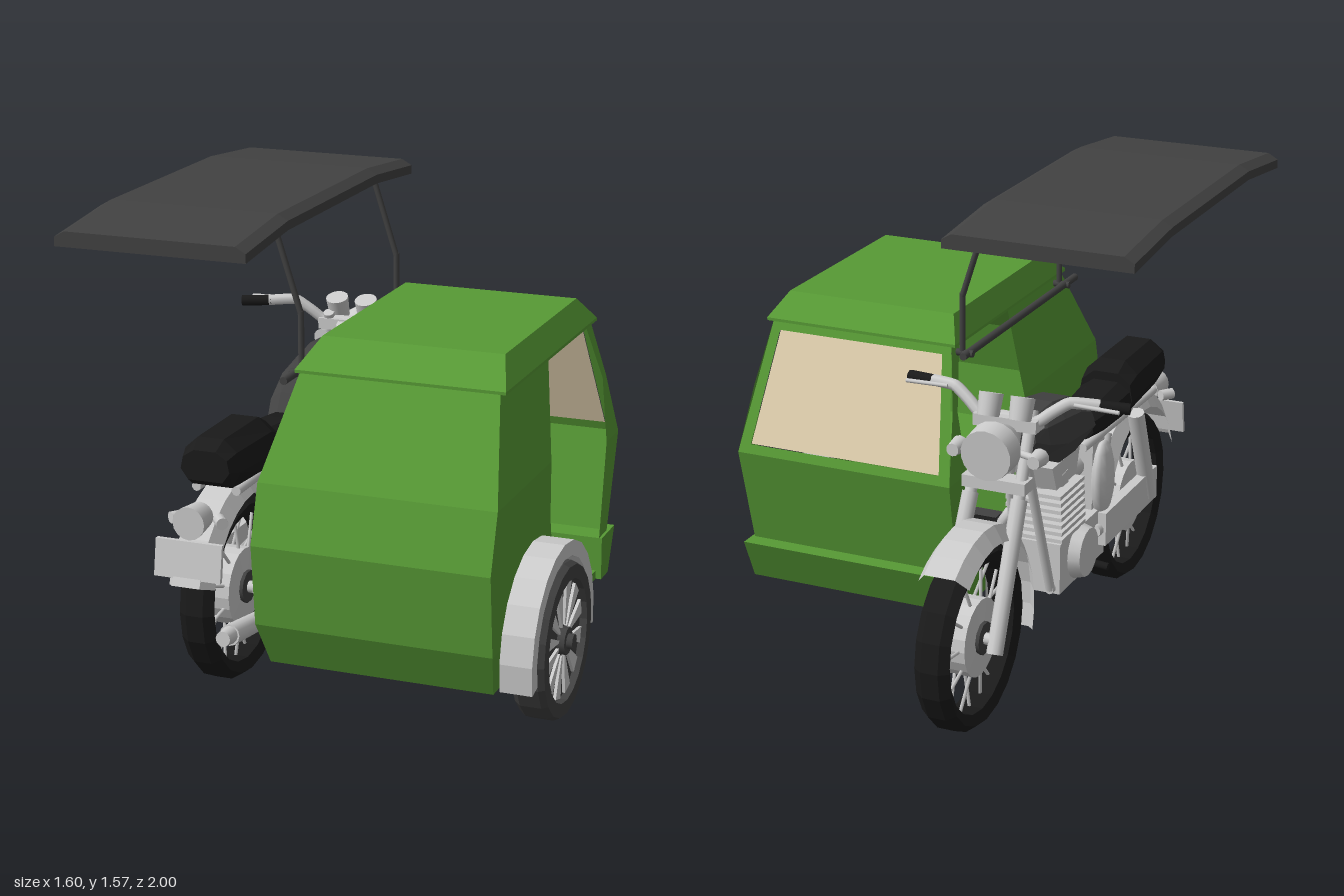
import * as THREE from 'three';

const mat = (color) => new THREE.MeshStandardMaterial({ color, side: THREE.DoubleSide });
const GREY = mat(0xcccccc), GREEN = mat(0x579a35), DARK = mat(0x424242), BLACK = mat(0x1a1a1a), GLASS = mat(0xe0cfae);
const BX = -0.37; // centre plane of the motorcycle
const V = (p) => new THREE.Vector3(...p);

export function createModel() {
  const root = new THREE.Group();
  const add = (name, geo, m = GREY, parent = root) => {
    const mesh = new THREE.Mesh(geo, m);
    mesh.name = name;
    parent.add(mesh);
    return mesh;
  };
  const group = (name) => {
    const g = new THREE.Group();
    g.name = name;
    root.add(g);
    return g;
  };
  const box = (name, x0, x1, y0, y1, z0, z1, m, parent) =>
    add(name, new THREE.BoxGeometry(x1 - x0, y1 - y0, z1 - z0).translate((x0 + x1) / 2, (y0 + y1) / 2, (z0 + z1) / 2), m, parent);
  // flat-shaded surface through equal rows of points; capped closes both ends
  const sheet = (name, rows, m, parent, loop = false, capped = false) => {
    if (loop) rows = rows.map((r) => [...r, r[0]]);
    if (capped) {
      const mid = (r) => r.map(() => [0, 1, 2].map((k) => r.slice(1).reduce((s, p) => s + p[k], 0) / (r.length - 1)));
      rows = [mid(rows[0]), ...rows, mid(rows[rows.length - 1])];
    }
    const pos = [];
    for (let i = 0; i + 1 < rows.length; i++)
      for (let j = 0; j + 1 < rows[i].length; j++) {
        const [a, b, c, d] = [rows[i][j], rows[i][j + 1], rows[i + 1][j + 1], rows[i + 1][j]];
        pos.push(...a, ...b, ...c, ...a, ...c, ...d);
      }
    const g = new THREE.BufferGeometry();
    g.setAttribute('position', new THREE.Float32BufferAttribute(pos, 3));
    g.computeVertexNormals();
    return add(name, g, m, parent);
  };
  // (z, y) outline extruded across x
  const prism = (name, pts, x0, x1, m, parent) =>
    add(name, new THREE.ExtrudeGeometry(new THREE.Shape(pts.map(([z, y]) => new THREE.Vector2(-z, y))),
      { depth: x1 - x0, bevelEnabled: false }).rotateY(Math.PI / 2).translate(x0, 0, 0), m, parent);
  const rod = (name, a, b, r, m, parent, r2 = r, seg = 10) => {
    const d = V(b).sub(V(a));
    const mesh = add(name, new THREE.CylinderGeometry(r2, r, d.length(), seg), m, parent);
    mesh.position.copy(V(a)).addScaledVector(d, 0.5);
    mesh.quaternion.setFromUnitVectors(new THREE.Vector3(0, 1, 0), d.normalize());
    return mesh;
  };
  const pipe = (name, pts, r, m, parent) =>
    add(name, new THREE.TubeGeometry(new THREE.CatmullRomCurve3(pts.map(V), false, 'catmullrom', 0.2), 24, r, 8), m, parent);
  const lathe = (name, pts, x, y, z, m, parent, seg = 20) =>
    add(name, new THREE.LatheGeometry(pts.map(([r, h]) => new THREE.Vector2(r, h)), seg).toNonIndexed()
      .rotateZ(-Math.PI / 2).translate(x, y, z), m, parent).geometry.computeVertexNormals();
  // mudguard: section of (x, radius) points swept through an arc in degrees
  const guard = (name, section, cy, cz, a0, a1, parent) => {
    const rows = [];
    for (let i = 0; i <= 12; i++) {
      const a = THREE.MathUtils.degToRad(a0 + ((a1 - a0) * i) / 12);
      rows.push(section.map(([x, r]) => [x, cy + r * Math.sin(a), cz + r * Math.cos(a)]));
    }
    sheet(name, rows, GREY, parent);
  };

  // ---- Sidecar cabin: [y, rear z, half width, outer wall edge z, inner wall edge z]
  const car = group('sidecar');
  const CX = 0.245;
  const lv = [[0.17, 0.88, 0.375, 0.35, 0.3], [0.32, 0.95, 0.395, 0.34, 0.3], [0.59, 0.975, 0.395, 0.39, 0.26],
    [0.78, 0.915, 0.395, 0.39, 0.25], [1.1, 0.71, 0.33, 0.24, 0.24]];
  sheet('cabinRear', lv.map(([y, z, w]) => [[CX - w, y, z], [CX + w, y, z]]), GREEN, car);
  sheet('outerWall', lv.map(([y, z, w, e]) => [[CX + w, y, z], [CX + w, y, e]]), GREEN, car);
  sheet('innerWall', lv.map(([y, z, w, , e]) => [[CX - w, y, z], [CX - w, y, e]]), GREEN, car);
  prism('floor', [[0.88, 0.17], [0.88, 0.2], [-0.28, 0.2], [-0.28, 0.17]], -0.13, 0.62, GREEN, car);
  box('innerSill', -0.145, -0.125, 0.17, 0.32, -0.25, 0.32, GREEN, car);
  box('benchBase', -0.13, 0.61, 0.18, 0.42, 0.42, 0.88, GREEN, car);
  box('storageBox', -0.12, 0.04, 0.2, 0.38, -0.18, 0.14, DARK, car);
  prism('frontStep', [[-0.2, 0.32], [-0.35, 0.32], [-0.28, 0.17], [-0.2, 0.17]], -0.15, 0.64, GREEN, car);
  // front pillars: [y, outer z, inner z, half width]
  const pillar = [[0.32, -0.29, -0.2, 0.385], [0.66, -0.37, -0.23, 0.395], [0.88, -0.29, -0.25, 0.37], [1.1, -0.21, -0.15, 0.33]];
  for (const s of [-1, 1])
    sheet('frontPillar', pillar.map(([y, a, b, w]) => [[CX + s * w, y, a], [CX + s * w, y, b]]), GREEN, car);
  sheet('frontPanel', [[-0.385, 0.32, -0.29], [-0.395, 0.66, -0.37]].map(([w, y, z]) => [[CX + w, y, z], [CX - w, y, z]]), GREEN, car);
  // windscreen and its frame; t runs up the slope
  const scr = (u, t, o = 0) => [CX + u * (0.395 - 0.065 * t), 0.66 + 0.44 * t, -0.37 + 0.16 * t - o];
  const ring = (u, t0, t1, o) => [scr(-u, t0, o), scr(u, t0, o), scr(u, t1, o), scr(-u, t1, o)];
  sheet('windscreenFrame', [ring(1, 0, 1, 0), ring(0.9, 0.07, 0.92, 0)], GREEN, car, true);
  const pane = ring(0.9, 0.07, 0.92, -0.005);
  sheet('windscreen', [[pane[0], pane[1]], [pane[3], pane[2]]], GLASS, car);
  const rect = (x0, x1, y, z0, z1) => [[x0, y, z0], [x1, y, z0], [x1, y, z1], [x0, y, z1]];
  sheet('cabinRoof', [rect(-0.1, 0.6, 1.09, -0.215, 0.73), rect(-0.1, 0.6, 1.1, -0.215, 0.73),
    rect(-0.06, 0.55, 1.18, -0.14, 0.595)], GREEN, car, true, true);

  // ---- Sidecar wheel
  const sw = group('sidecarWheel');
  const WY = 0.275, WZ = 0.625;
  lathe('tyre', [[0.2, 0.67], [0.24, 0.67], [0.255, 0.69], [0.255, 0.76], [0.245, 0.78], [0.2, 0.78], [0.2, 0.67]], 0, WY, WZ, DARK, sw);
  lathe('wheelDisc', [[0, 0.69], [0.202, 0.69], [0.202, 0.755], [0, 0.755]], 0, WY, WZ, DARK, sw);
  for (let i = 0; i < 12; i++) {
    const pts = [[0.05, -0.08], [0.19, -0.14], [0.19, 0.14], [0.05, 0.08]].map(([r, da]) => {
      const a = (i * Math.PI) / 6 + 0.26 + da;
      return [WZ + r * Math.cos(a), WY + r * Math.sin(a)];
    });
    prism('spoke', pts, 0.68, 0.765, GREY, sw);
  }
  rod('hub', [0.66, WY, WZ], [0.78, WY, WZ], 0.045, DARK, sw);
  rod('axle', [0.5, WY, WZ], [0.8, WY, WZ], 0.025, DARK, sw);
  guard('wheelGuard', [[0.66, 0.27], [0.66, 0.32], [0.765, 0.32], [0.765, 0.27], [0.66, 0.27]], WY, WZ, -12, 190, sw);

  // ---- Canopy over the rider
  const can = group('canopy');
  sheet('canopyRoof', [[0.97, 1.54], [0.65, 1.575], [-0.1, 1.575], [-0.43, 1.545]].map(([z, t]) =>
    [[-0.8, t - 0.05], [-0.15, t - 0.05], [-0.15, t - 0.02], [-0.185, t], [-0.765, t], [-0.8, t - 0.02]].map(([x, y]) => [x, y, z])),
  DARK, can, true, true);
  rod('canopyRail', [-0.13, 1.065, 0.75], [-0.13, 1.065, -0.22], 0.013, DARK, can);
  for (const z of [0.65, -0.18]) {
    rod('canopyPost', [-0.11, 1.06, z], [-0.11, 1.27, z], 0.01, DARK, can);
    rod('canopyPost', [-0.11, 1.26, z], [-0.195, 1.53, z], 0.01, DARK, can);
    rod('railBracket', [-0.15, 1.065, z], [-0.07, 1.065, z], 0.012, DARK, can);
  }
  for (const [y, z] of [[0.45, 0.2], [0.49, 0.45], [0.45, -0.12]])
    rod('sidecarLink', [-0.32, y, z], [-0.13, y, z], 0.018, BLACK, can);

  // ---- Motorcycle wheels
  const bike = group('motorcycle');
  for (const z of [-0.69, 0.63]) {
    const y = 0.31;
    lathe('tyre', [[0.25, -0.045], [0.285, -0.06], [0.308, -0.03], [0.308, 0.03], [0.285, 0.06], [0.25, 0.045], [0.25, -0.045]], BX, y, z, BLACK, bike);
    lathe('brakeDrum', [[0, -0.045], [0.13, -0.04], [0.13, 0.04], [0, 0.045]], BX, y, z, GREY, bike);
    rod('axle', [BX - 0.11, y, z], [BX + 0.11, y, z], 0.02, GREY, bike);
    rod('hubCap', [BX - 0.055, y, z], [BX + 0.055, y, z], 0.055, DARK, bike);
    for (let i = 0; i < 20; i++) {
      const a = (i * Math.PI) / 10, s = i % 2 ? 0.02 : -0.02;
      rod('spoke', [BX + s, y + 0.12 * Math.sin(a), z + 0.12 * Math.cos(a)],
        [BX, y + 0.26 * Math.sin(a), z + 0.26 * Math.cos(a)], 0.006, GREY, bike, 0.006, 5);
    }
  }
  const arch = (w, r) => [[BX - w, r - 0.05], [BX - w * 0.6, r], [BX + w * 0.6, r], [BX + w, r - 0.05]];
  guard('frontMudguard', arch(0.087, 0.37), 0.31, -0.69, -17, 128, bike);
  guard('rearMudguard', arch(0.08, 0.38), 0.31, 0.63, 18, 160, bike);

  // ---- Mirrored parts: fork, shocks, swing arm, frame, indicators, gauges, handlebar
  for (const s of [-1, 1]) {
    const x = (d) => BX + s * d;
    rod('forkLeg', [x(0.095), 0.27, -0.71], [x(0.085), 0.72, -0.5], 0.027, GREY, bike);
    rod('forkTube', [x(0.085), 0.7, -0.51], [x(0.075), 0.98, -0.375], 0.02, GREY, bike);
    rod('rearShock', [x(0.11), 0.33, 0.62], [x(0.1), 0.68, 0.5], 0.03, GREY, bike);
    rod('swingArm', [x(0.1), 0.31, 0.66], [x(0.09), 0.36, 0.15], 0.022, GREY, bike);
    rod('frameTube', [x(0.07), 0.68, 0.75], [x(0.06), 0.68, 0.1], 0.016, GREY, bike);
    rod('frameTube', [x(0.07), 0.67, 0.3], [x(0.07), 0.28, 0.17], 0.018, GREY, bike);
    rod('downTube', [x(0.03), 0.82, -0.33], [x(0.06), 0.27, -0.17], 0.016, GREY, bike);
    rod('cradleTube', [x(0.06), 0.27, -0.18], [x(0.07), 0.27, 0.2], 0.016, GREY, bike);
    rod('footPeg', [x(0.06), 0.28, 0.08], [x(0.17), 0.27, 0.08], 0.014, BLACK, bike);
    rod('indicatorStem', [x(0.05), 0.86, -0.45], [x(0.13), 0.86, -0.48], 0.012, GREY, bike);
    rod('indicator', [x(0.14), 0.86, -0.46], [x(0.14), 0.86, -0.52], 0.03, GREY, bike, 0.022);
    rod('rearIndicator', [x(0.06), 0.62, 0.86], [x(0.09), 0.62, 0.9], 0.02, GREY, bike);
    rod('gauge', [x(0.055), 0.96, -0.43], [x(0.055), 1.03, -0.405], 0.036, GREY, bike, 0.04, 16);
    pipe('handlebar', [[x(0), 0.95, -0.39], [x(0.1), 0.95, -0.39], [x(0.14), 0.98, -0.38], [x(0.2), 1.02, -0.365], [x(0.29), 1.015, -0.335]], 0.02, GREY, bike);
    rod('grip', [x(0.28), 1.015, -0.338], [x(0.385), 1.01, -0.315], 0.019, BLACK, bike);
    rod('lever', [x(0.22), 1.02, -0.38], [x(0.37), 1.015, -0.375], 0.007, GREY, bike);
    const cover = add('sideCover', new THREE.SphereGeometry(1, 12, 8), GREY, bike);
    cover.scale.set(0.035, 0.14, 0.075);
    cover.position.set(x(0.085), 0.53, 0.23);
    rod('engineCover', [x(0.06), 0.35, 0], [x(0.13), 0.35, 0], 0.105, GREY, bike, 0.085, 16);
  }
  for (const [y, z] of [[0.94, -0.395], [0.76, -0.48]]) box('forkYoke', BX - 0.11, BX + 0.11, y - 0.02, y + 0.02, z - 0.035, z + 0.035, GREY, bike);
  rod('steeringHead', [BX, 0.75, -0.44], [BX, 0.95, -0.35], 0.035, GREY, bike);
  rod('headlamp', [BX, 0.89, -0.42], [BX, 0.885, -0.5], 0.05, GREY, bike, 0.09, 18);
  rod('headlampRim', [BX, 0.885, -0.5], [BX, 0.88, -0.575], 0.09, GREY, bike, 0.086, 18);

  // ---- Tank and seat: lofted along z from [z, bottom, top, half width]
  const loft = (name, rows, m) => sheet(name, rows.map(([z, b, t, w]) =>
    [[-w * 0.7, b], [w * 0.7, b], [w, b + (t - b) * 0.35], [w * 0.9, b + (t - b) * 0.75], [w * 0.45, t], [-w * 0.45, t],
      [-w * 0.9, b + (t - b) * 0.75], [-w, b + (t - b) * 0.35]].map(([x, y]) => [BX + x, y, z])), m, bike, true, true);
  loft('fuelTank', [[0.2, 0.72, 0.76, 0.07], [0.14, 0.71, 0.83, 0.085], [0, 0.71, 0.9, 0.105], [-0.15, 0.72, 0.93, 0.11],
    [-0.28, 0.78, 0.925, 0.1], [-0.33, 0.82, 0.91, 0.07]], DARK);
  loft('riderSeat', [[0.16, 0.69, 0.77, 0.075], [0.26, 0.68, 0.78, 0.09], [0.47, 0.68, 0.8, 0.1]], BLACK);
  loft('pillionSeat', [[0.46, 0.68, 0.83, 0.1], [0.52, 0.68, 0.86, 0.105], [0.78, 0.7, 0.86, 0.1], [0.83, 0.73, 0.83, 0.085]], BLACK);

  // ---- Engine
  box('crankcase', BX - 0.09, BX + 0.09, 0.25, 0.43, -0.16, 0.24, GREY, bike);
  rod('cylinder', [BX, 0.4, -0.05], [BX, 0.66, -0.08], 0.075, GREY, bike);
  for (let i = 0; i < 7; i++) {
    const y = 0.44 + i * 0.027;
    box('coolingFin', BX - 0.1, BX + 0.1, y, y + 0.013, -0.17 - i * 0.003, 0.04 - i * 0.003, GREY, bike);
  }
  prism('cylinderHead', [[0.05, 0.71], [-0.19, 0.71], [-0.15, 0.62], [0.02, 0.62]], BX - 0.07, BX + 0.07, GREY, bike);
  rod('carburettor', [BX, 0.6, 0.02], [BX, 0.58, 0.2], 0.04, GREY, bike);
  box('airBox', BX - 0.07, BX + 0.07, 0.42, 0.67, 0.17, 0.32, GREY, bike);
  pipe('exhaustPipe', [[BX + 0.04, 0.56, -0.14], [BX + 0.09, 0.52, -0.22], [BX + 0.12, 0.3, -0.2], [BX + 0.14, 0.2, -0.08], [BX + 0.15, 0.19, 0.35]], 0.02, GREY, bike);
  rod('silencer', [BX + 0.15, 0.19, 0.33], [BX + 0.13, 0.27, 0.95], 0.025, GREY, bike, 0.035, 12);
  rod('silencerTip', [BX + 0.13, 0.27, 0.94], [BX + 0.13, 0.275, 1], 0.03, GREY, bike, 0.025, 12);
  pipe('kickLever', [[BX + 0.1, 0.32, 0.1], [BX + 0.16, 0.28, 0.12], [BX + 0.18, 0.18, 0.14]], 0.014, GREY, bike);
  box('chainCase', BX - 0.12, BX - 0.085, 0.3, 0.42, 0.18, 0.68, GREY, bike);

  // ---- Tail
  rod('tailLamp', [BX, 0.63, 0.87], [BX, 0.63, 0.96], 0.045, GREY, bike, 0.055, 16);
  prism('numberPlate', [[0.945, 0.57], [0.96, 0.57], [0.98, 0.45], [0.965, 0.45]], BX - 0.115, BX + 0.115, GREY, bike);
  return root;
}
